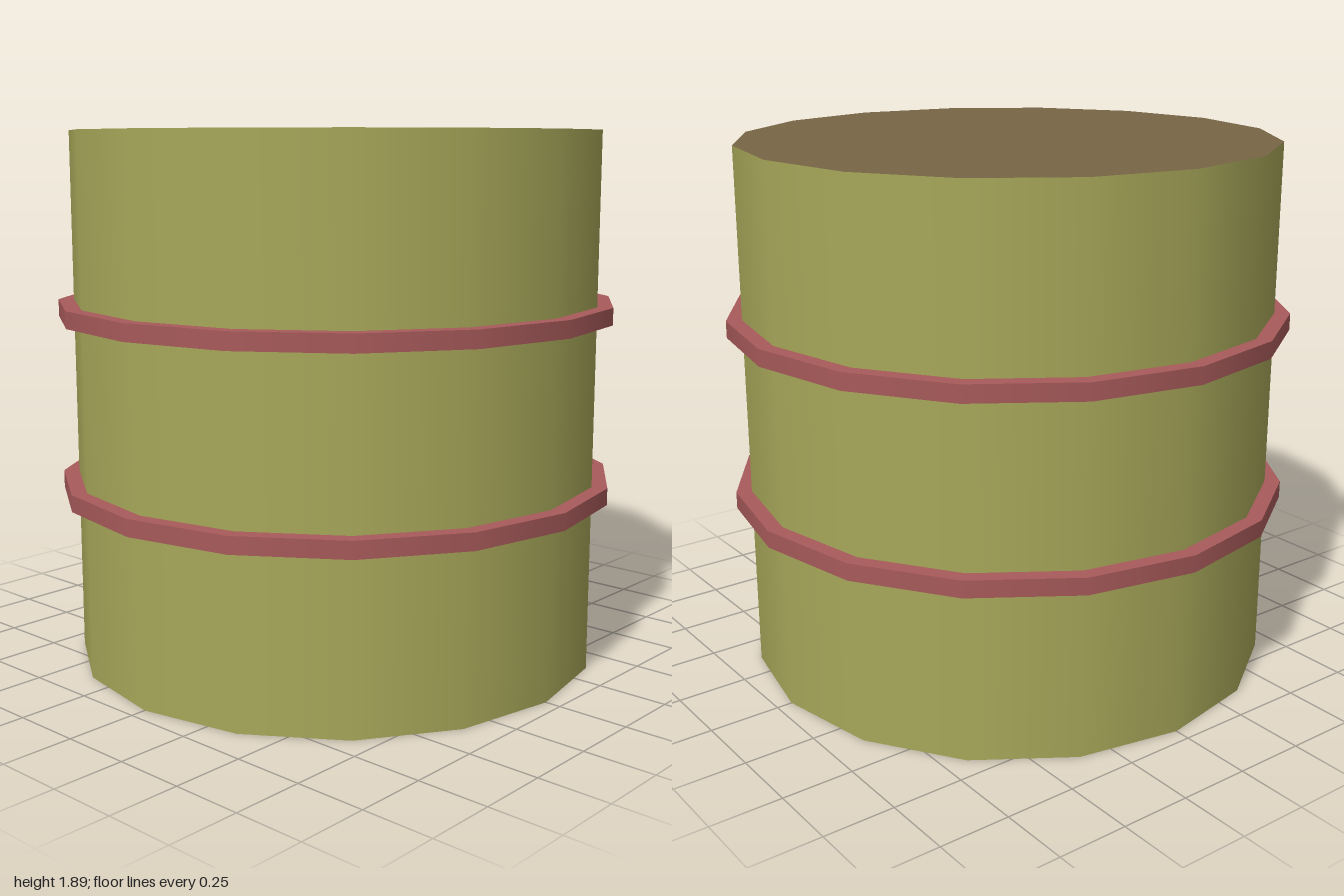
import * as THREE from 'three';

const SIDES = 16;
const RADIUS = 0.945;
const HEIGHT = 1.89;
const BAND_HEIGHT = 0.06;

const paint = (color) => new THREE.MeshStandardMaterial({ color });

export function createModel() {
  const model = new THREE.Group();
  model.name = 'barrel';

  const green = paint(0xa8a85a);
  const brown = paint(0x776645);
  const red = paint(0xa85a5a);

  // Smooth green wall with brown lid and base
  const body = new THREE.Mesh(
    new THREE.CylinderGeometry(RADIUS, RADIUS, HEIGHT, SIDES),
    [green, brown, brown]
  );
  body.name = 'body';
  body.position.y = HEIGHT / 2;
  model.add(body);

  // Two raised hoops at one third and two thirds of the height
  const bandGeometry = new THREE.CylinderGeometry(1, 1, BAND_HEIGHT, SIDES);
  [['lowerBand', 1], ['upperBand', 2]].forEach(([name, third]) => {
    const band = new THREE.Mesh(bandGeometry, red);
    band.name = name;
    band.position.y = third * HEIGHT / 3 + 0.003;
    model.add(band);
  });

  return model;
}
